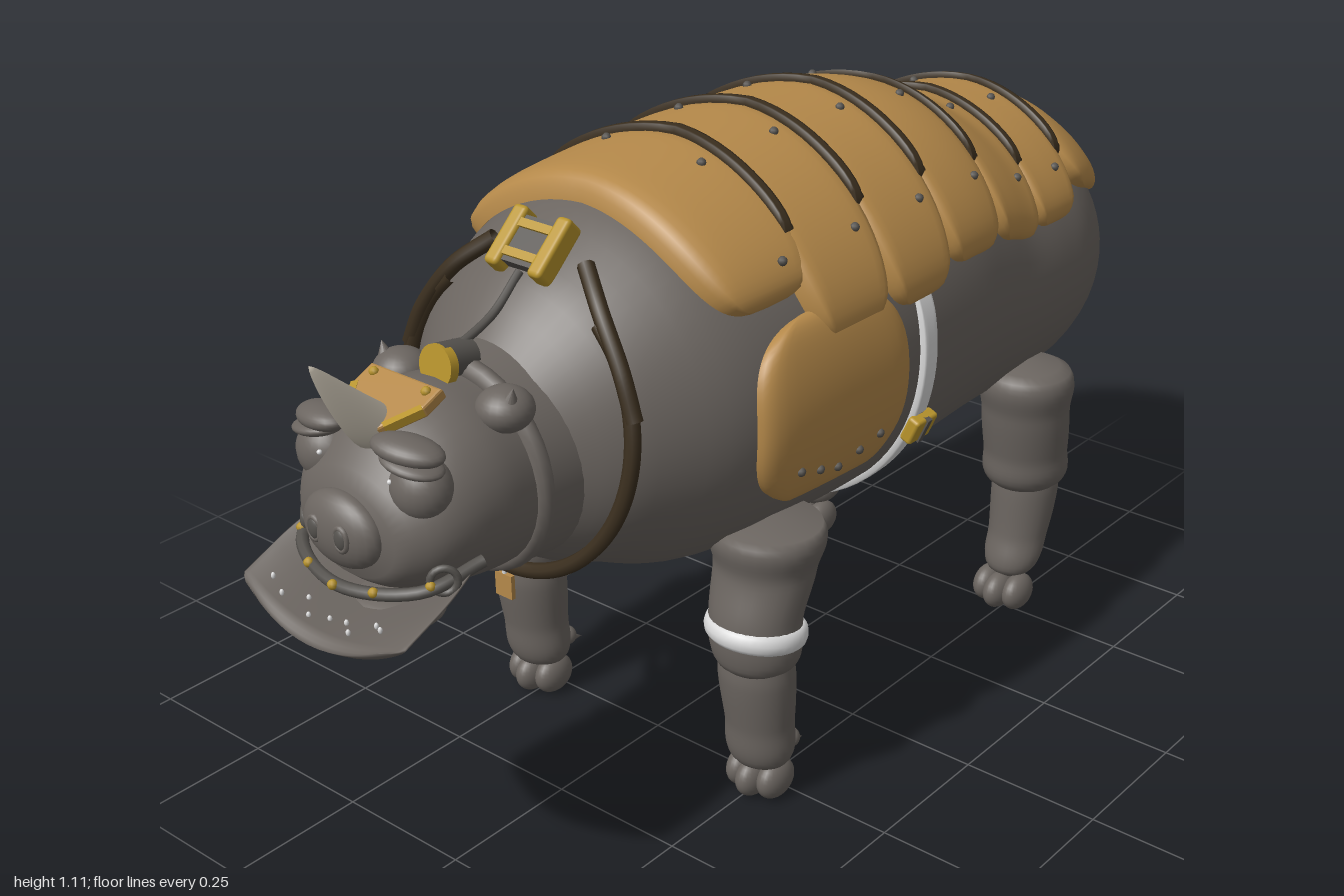
import * as THREE from 'three';
import { mergeVertices } from 'three/addons/utils/BufferGeometryUtils.js';
import { RoundedBoxGeometry } from 'three/addons/geometries/RoundedBoxGeometry.js';

const mat = (name, color, side = THREE.FrontSide) => {
  const m = new THREE.MeshStandardMaterial({ color, side });
  m.name = name;
  return m;
};
const V = (x, y, z) => new THREE.Vector3(x, y, z);

// Surface from a rule f(u, v), u and v in 0..1, facing along du x dv
function grid(f, nu, nv) {
  const pos = [], idx = [];
  for (let j = 0; j <= nv; j++)
    for (let i = 0; i <= nu; i++) pos.push(...f(i / nu, j / nv));
  for (let j = 0; j < nv; j++)
    for (let i = 0; i < nu; i++) {
      const a = j * (nu + 1) + i, c = a + nu + 1;
      idx.push(a, a + 1, c, a + 1, c + 1, c);
    }
  let g = new THREE.BufferGeometry();
  g.setAttribute('position', new THREE.Float32BufferAttribute(pos, 3));
  g.setIndex(idx);
  g = mergeVertices(g, 1e-5);
  g.computeVertexNormals();
  return g;
}

// Smooth interpolation in a table whose first column descends
function sample(rows, t) {
  t = Math.min(rows[0][0], Math.max(rows[rows.length - 1][0], t));
  let k = 0;
  while (k < rows.length - 2 && t < rows[k + 1][0]) k++;
  const a = rows[k], b = rows[k + 1], h = b[0] - a[0], s = (t - a[0]) / h;
  const p = rows[Math.max(k - 1, 0)], q = rows[Math.min(k + 2, rows.length - 1)];
  return a.map((_, c) => {
    const m0 = (b[c] - p[c]) / (b[0] - p[0]) * h, m1 = (q[c] - a[c]) / (q[0] - a[0]) * h;
    const s2 = s * s, s3 = s2 * s;
    return (2 * s3 - 3 * s2 + 1) * a[c] + (s3 - 2 * s2 + s) * m0 + (3 * s2 - 2 * s3) * b[c] + (s3 - s2) * m1;
  });
}

// Rows: z, top, bottom, half width
const BODY = [[.62, .88, .53, .16], [.56, .945, .49, .225], [.5, .985, .465, .265], [.4, 1.035, .42, .315],
  [.3, 1.05, .4, .335], [.1, 1.06, .385, .343], [-.05, 1.06, .38, .343], [-.25, 1.05, .385, .33],
  [-.38, 1.015, .385, .312], [-.48, .97, .385, .3], [-.6, .957, .385, .293], [-.69, .945, .39, .282],
  [-.78, .9, .415, .25], [-.86, .83, .47, .195], [-.92, .76, .55, .12], [-.945, .7, .61, .05], [-.95, .655, .655, 0]];
const HEAD = [[.925, .69, .69, 0], [.92, .73, .63, .07], [.89, .775, .59, .125], [.84, .825, .565, .16],
  [.76, .855, .545, .172], [.68, .85, .535, .165], [.6, .84, .54, .15]];

function ringPoint(rows, z, th, off = 0) {
  const [, top, bot, rx] = sample(rows, z), ry = (top - bot) / 2;
  return [(Math.max(rx, 0) + off) * Math.sin(th), (top + bot) / 2 + (ry + off) * Math.cos(th), z];
}
const loft = (rows, nu, nv) => {
  const z0 = rows[0][0], z1 = rows[rows.length - 1][0];
  return grid((u, v) => ringPoint(rows, z0 + (z1 - z0) * Math.sin(v * Math.PI / 2), u * Math.PI * 2), nu, nv);
};
// Rounded plate hugging the body
const patch = (zc, hz, { th0 = 0, th, p = 4, off = .032, chev = .15 }, nu = 44, nv = 14) => grid((u, v) => {
  const a = Math.sin((u - .5) * Math.PI), b = Math.sin((v - .5) * Math.PI);
  const ang = th0 + a * th, w = Math.pow(Math.max(0, 1 - Math.abs(a) ** p), 1 / p);
  const lift = off * Math.sqrt(Math.max(0, 1 - Math.max(Math.abs(a), Math.abs(b)) ** 12));
  return ringPoint(BODY, zc - b * hz * w + chev * .34 * Math.abs(Math.sin(ang)), ang, lift);
}, nu, nv);
// Limb from rows: y, x, z, rx, rz
const limb = rows => grid((u, v) => {
  const [y, x, z, rx, rz] = sample(rows, rows[0][0] + v * (rows[rows.length - 1][0] - rows[0][0]));
  const a = u * Math.PI * 2;
  return [x + Math.max(rx, 0) * Math.cos(a), y, z + Math.max(rz, 0) * Math.sin(a)];
}, 28, 28);

export function createModel() {
  const root = new THREE.Group();
  root.name = 'armouredBeast';
  const hide = mat('grey hide', 0x6b6560), tan = mat('tan plate', 0xb5894a, THREE.DoubleSide);
  const dark = mat('dark leather', 0x3a2e1e, THREE.DoubleSide), gold = mat('brass', 0xb8942c);
  const white = mat('white cloth', 0xdcdcdc, THREE.DoubleSide), bone = mat('horn', 0xbdb5a6);
  const iron = mat('iron', 0x55524e);

  const add = (name, geo, m, pos = [0, 0, 0], rot = [0, 0, 0], scl = [1, 1, 1]) => {
    const mesh = new THREE.Mesh(geo, m);
    mesh.name = name;
    mesh.position.set(...pos);
    mesh.rotation.set(...rot);
    mesh.scale.set(...scl);
    root.add(mesh);
    return mesh;
  };
  const ball = new THREE.SphereGeometry(1, 24, 16), stud = new THREE.SphereGeometry(.008, 8, 6);
  const blob = (name, m, pos, scl, rot) => add(name, ball, m, pos, rot, scl);
  const tube = (name, pts, r, m, n = 32) =>
    add(name, new THREE.TubeGeometry(new THREE.CatmullRomCurve3(pts), n, r, 8), m);

  // Body, neck and head
  add('body', loft(BODY, 56, 72), hide);
  add('neck', new THREE.CylinderGeometry(.172, .185, .14, 40), hide, [0, .695, .61], [Math.PI / 2, 0, 0]);
  add('neckFold', new THREE.TorusGeometry(.16, .018, 10, 40), hide, [0, .695, .67]);
  add('head', loft(HEAD, 40, 32), hide);
  blob('snout', hide, [0, .685, .915], [.078, .06, .035]);

  // Shovel-shaped lower jaw
  add('jaw', grid((u, v) => {
    const a = u * Math.PI * 2, w = (.15 + .026 * Math.sin(Math.min(1, v * 1.6) * Math.PI / 2));
    const s = Math.cos(a), t = Math.min(1, v * 12, (1 - v) * 12);
    return [w * s * Math.min(1, .85 + (1 - v) * 2) * (v === 0 || v === 1 ? .95 : 1),
      .53 + s * s * (.035 + .09 * (1 - v)) + t * .013 * Math.sin(a), .77 + .23 * v - .015 * s * s * v];
  }, 40, 36), hide);
  blob('chin', hide, [0, .528, .835], [.09, .026, .07]);
  for (let i = 0; i < 9; i++)
    add('tooth', stud, white, [-.13 + i * .03, .545 + .03 * ((i - 4) / 4) ** 2, .95 + .015 * Math.sin(i * 2.4)], [0, 0, 0], [.45, .7, .45]);
  tube('bit', [V(-.165, .64, .8), V(-.13, .615, .89), V(0, .6, .935), V(.13, .615, .89), V(.165, .64, .8)], .01, iron);
  for (const x of [-.14, -.07, 0, .07, .14])
    add('bitStud', stud, gold, [x, .605 + x * x, .945 - x * x * 3.2]);

  for (const s of [-1, 1]) {
    // Face features
    blob('nostril', iron, [s * .028, .688, .944], [.013, .018, .008]);
    add('nostrilRim', new THREE.TorusGeometry(.016, .005, 8, 18), hide, [s * .028, .688, .944], [0, 0, 0], [.8, 1.1, 1]);
    blob('eye', hide, [s * .1, .757, .85], [.05, .05, .045]);
    blob('eyeGlint', white, [s * .075, .772, .8865], [.004, .004, .004]);
    blob('brow', hide, [s * .09, .818, .862], [.058, .02, .035], [0, s * .3, -s * .12]);
    blob('browFold', hide, [s * .1, .8, .865], [.05, .013, .036], [0, s * .3, -s * .2]);
    blob('ear', hide, [s * .11, .825, .69], [.045, .035, .045]);
    add('earTip', new THREE.ConeGeometry(.026, .05, 16), hide, [s * .132, .845, .7], [0, 0, -s * .3]);
    add('bitRing', new THREE.TorusGeometry(.02, .006, 8, 20), iron, [s * .15, .63, .865], [0, s * .8, 0]);

    // Shoulder shield with its rivets
    add('shoulderPlate', patch(.19, .18, { th0: s * Math.PI / 2, th: .48, p: 3, off: .022, chev: 0 }, 28, 18), tan);
    for (let i = -2; i <= 2; i++)
      add('shoulderRivet', stud, iron, ringPoint(BODY, .19 + i * .05, s * (1.9 - .04 * Math.abs(i)), .022));
    add('buckle', new RoundedBoxGeometry(.024, .05, .06, 2, .006), gold, [s * .332, .585, -.055], [0, 0, -s * .42]);
    add('bucklePin', new THREE.BoxGeometry(.03, .05, .012), iron, [s * .332, .585, -.055], [0, 0, -s * .42]);

    // Front leg
    add('frontUpperLeg', limb([[.526, s * .262, .265, 0, 0], [.52, s * .262, .265, .088, .084], [.44, s * .262, .272, .088, .082],
      [.36, s * .264, .298, .08, .076], [.29, s * .266, .3, .077, .07], [.262, s * .266, .298, .05, .05], [.255, s * .266, .298, 0, 0]]), hide);
    add('frontLowerLeg', limb([[.285, s * .262, .295, .066, .055], [.24, s * .262, .293, .069, .06], [.15, s * .262, .285, .062, .055],
      [.07, s * .26, .28, .053, .045], [.05, s * .26, .28, 0, 0]]), hide);
    add('legBand', new THREE.TorusGeometry(.073, .013, 10, 36), white, [s * .265, .332, .299], [Math.PI / 2 - .17, 0, 0], [1.03, .98, 1.5]);

    // Rear leg
    add('rearUpperLeg', limb([[.52, s * .25, -.535, 0, 0], [.505, s * .25, -.535, .078, .08], [.42, s * .248, -.542, .084, .084],
      [.33, s * .245, -.556, .08, .082], [.26, s * .242, -.565, .07, .075], [.235, s * .242, -.565, 0, 0]]), hide);
    add('rearLowerLeg', limb([[.28, s * .242, -.568, .06, .062], [.24, s * .242, -.568, .064, .066], [.15, s * .242, -.553, .058, .056],
      [.08, s * .242, -.53, .048, .044], [.05, s * .242, -.52, 0, 0]]), hide);

    // Toes and dew claws
    for (const [x, z] of [[.26, .285], [.242, -.505]]) {
      for (const k of [-1, 0, 1])
        blob('toe', hide, [s * (x + k * .033), .036, z + (k ? -.004 : .012)], [.025, .036, .042]);
      for (const k of [-1, 1]) {
        add('dewClaw', new THREE.ConeGeometry(.014, .05, 10), hide, [s * x + k * .025, .08, z - .065], [-1.9, 0, 0]);
        blob('ankleKnob', hide, [s * x + k * .035, .1, z - .04], [.018, .018, .018]);
      }
    }

    // Neck harness strap ends
    tube('harnessEnd', [V(s * .095, .985, .495), V(s * .155, .935, .53), V(s * .21, .86, .548), V(s * .24, .79, .555)], .014, dark);
  }

  // Back armour: front z, back z, angle down each side
  const plates = [[.4, .16, 1.0], [.2, -.02, 1.28], [.01, -.2, 1.28], [-.17, -.38, 1.22], [-.35, -.55, 1.2], [-.52, -.69, 1.15], [-.64, -.935, 1.02]];
  plates.forEach(([a, b, th], i) => {
    const zc = (a + b) / 2, last = i === 6;
    add('backPlate', patch(zc, (a - b) / 2, { th, off: .035, chev: last || !i ? .05 : .15 }), tan);
    if (!last) add('backStrap', patch(b + .012, .012, { th: .8, p: 12, off: .046 }, 32, 8), dark);
    for (const t of [-.85, -.27, .27, .85]) {
      const z = last ? -.885 : b + .06 + .05 * Math.abs(Math.sin(t));
      add('rivet', stud, iron, ringPoint(BODY, z, t * (last ? .8 : 1), .036));
    }
  });

  // Rump guard and tail
  blob('tailPlate', tan, [0, .725, -.95], [.075, .055, .014], [.5, 0, 0]);
  add('tailStrap', patch(-.925, .012, { th: .9, p: 12, off: .04, chev: 0 }, 24, 8), dark);
  for (const x of [-.035, 0, .035]) add('tailRivet', stud, iron, [x, .735, -.96]);
  tube('tail', [V(0, .67, -.94), V(.005, .64, -.962), V(0, .62, -.965), V(-.01, .625, -.985)], .012, hide, 16);
  blob('tailTuft', hide, [.012, .615, -.955], [.018, .025, .016]);

  // Belly strap
  add('bellyStrap', patch(-.055, .021, { th0: Math.PI, th: Math.PI - 1.2, p: 40, off: .011, chev: 0 }, 72, 8), white);

  // Neck harness
  const ring = [];
  for (let i = 0; i <= 24; i++) {
    const a = .7 + (Math.PI * 2 - 1.4) * i / 24, y = .732 + .242 * Math.cos(a);
    ring.push(V(.242 * Math.sin(a), y, .565 - .16 * (y - .73)));
  }
  tube('neckHarness', ring, .013, dark, 80);
  add('harnessTag', new THREE.BoxGeometry(.036, .042, .008), tan, [0, .452, .605]);
  add('tagCord', new THREE.CylinderGeometry(.004, .004, .04, 8), white, [0, .487, .605]);

  // Clasp over the neck
  const clasp = new THREE.Group();
  clasp.name = 'clasp';
  clasp.position.set(0, .998, .51);
  clasp.rotation.x = .75;
  root.add(clasp);
  for (const s of [-1, 1]) {
    const bar = add('claspBar', new RoundedBoxGeometry(.028, .04, .105, 2, .008), gold, [s * .045, 0, 0]);
    const cross = add('claspCrossbar', new THREE.BoxGeometry(.08, .014, .014), gold, [0, .01, s * .025]);
    clasp.add(bar, cross);
  }
  clasp.add(add('claspCore', new THREE.BoxGeometry(.07, .024, .08), iron));

  // Leading rod and its socket
  tube('rod', [V(0, .965, .54), V(0, .915, .6), V(0, .885, .68)], .007, iron, 16);
  add('rodSocket', new THREE.CylinderGeometry(.028, .028, .06, 20), iron, [0, .872, .685], [1.4, 0, 0]);
  add('socketRing', new THREE.CylinderGeometry(.034, .034, .016, 24), gold, [0, .87, .713], [1.4, 0, 0]);

  // Horn on its forehead plate
  const shield = new THREE.Shape([[-.07, .045], [.07, .045], [.07, .01], [.03, -.05], [-.03, -.05], [-.07, .01]].map(p => new THREE.Vector2(...p)));
  add('foreheadPlate', new THREE.ExtrudeGeometry(shield, { depth: .012, bevelSize: .004, bevelThickness: .004, bevelSegments: 2 }), tan, [0, .843, .815], [-1.15, 0, 0]);
  for (const s of [-1, 1]) {
    add('plateTrim', new THREE.BoxGeometry(.012, .014, .06), gold, [s * .055, .845, .835], [.4, -s * .55, 0]);
    add('plateRivet', stud, gold, [s * .055, .872, .79]);
  }
  add('horn', grid((u, v) => {
    const a = u * Math.PI * 2, r = .04 * Math.pow(1 - v, .75);
    return [r * Math.cos(a), .815 + .137 * v + r * .55 * Math.sin(a), .835 + .115 * Math.pow(v, .85) - r * .8 * Math.sin(a)];
  }, 24, 18), bone);
  return root;
}
